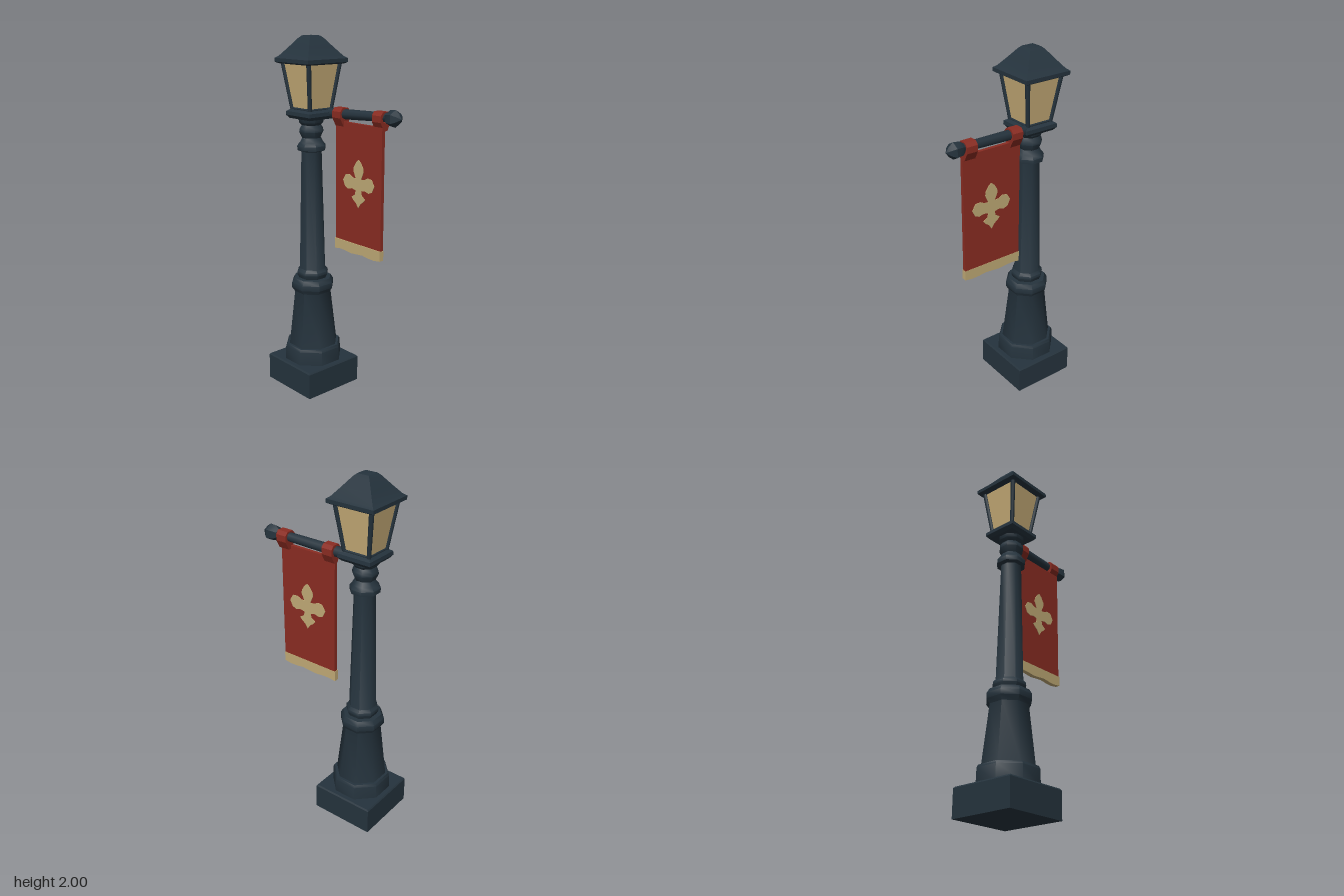
import * as THREE from 'three';
import { toCreasedNormals } from 'three/addons/utils/BufferGeometryUtils.js';

const mat = (name, color, side = THREE.FrontSide) => {
  const m = new THREE.MeshStandardMaterial({ color, side });
  m.name = name;
  return m;
};

export function createModel() {
  const iron = mat('dark iron', 0x25333d);
  const cloth = mat('red cloth', 0x8a2c22);
  const glassMat = mat('warm glass', 0xcbb07a, THREE.DoubleSide);
  const trim = mat('tan trim', 0xc0aa76);
  const model = new THREE.Group();
  model.name = 'bannerLampPost';

  const add = (parent, name, geo, material, x = 0, y = 0, z = 0) => {
    const mesh = new THREE.Mesh(geo, material);
    mesh.name = name;
    mesh.position.set(x, y, z);
    parent.add(mesh);
    return mesh;
  };
  // Prism from [half width, height] rings, with flats facing front and sides
  const turned = (profile, sides, crease) => {
    const k = 1 / Math.cos(Math.PI / sides);
    const geo = new THREE.LatheGeometry(profile.map(([r, y]) => new THREE.Vector2(r * k, y)), sides);
    geo.rotateY(Math.PI / sides);
    return toCreasedNormals(geo, crease);
  };
  // Straight bar between two points
  const bar = (parent, name, a, b, r0, r1, sides, material) => {
    const d = b.clone().sub(a);
    const geo = new THREE.CylinderGeometry(r1, r0, d.length(), sides);
    const mesh = add(parent, name, geo, material);
    mesh.position.copy(a).addScaledVector(d, 0.5);
    mesh.quaternion.setFromUnitVectors(new THREE.Vector3(0, 1, 0), d.normalize());
    return mesh;
  };

  // Post, standing behind the centre
  const post = new THREE.Group();
  post.name = 'post';
  post.position.z = -0.196;
  model.add(post);
  add(post, 'base', turned([[0, 0], [0.185, 0], [0.185, 0.148], [0.179, 0.156], [0, 0.156]], 4, 0.5), iron);
  add(post, 'pedestal', turned([
    [0, 0.15], [0.155, 0.15], [0.153, 0.235], [0.146, 0.25], [0.132, 0.25],
    [0.098, 0.57], [0.114, 0.595], [0.114, 0.625], [0.1, 0.65], [0, 0.655],
  ], 8, 0.86), iron);
  add(post, 'shaft', turned([
    [0.07, 0.64], [0.085, 0.675], [0.083, 0.69], [0.07, 0.705], [0.054, 1.38],
    [0.074, 1.388], [0.076, 1.412], [0.062, 1.43], [0.049, 1.455], [0.064, 1.488],
    [0.062, 1.505], [0.05, 1.525], [0.064, 1.54], [0.068, 1.57], [0, 1.575],
  ], 8, 0.86), iron);

  // Lantern
  const lantern = new THREE.Group();
  lantern.name = 'lantern';
  lantern.position.set(0.003, 0, -0.196);
  model.add(lantern);
  add(lantern, 'lanternFloor', turned([
    [0, 1.56], [0.085, 1.56], [0.1, 1.578], [0.098, 1.598], [0.08, 1.61], [0, 1.612],
  ], 4, 0.5), iron);
  add(lantern, 'glass', turned([[0.073, 1.605], [0.109, 1.862]], 4, 0.5), glassMat);
  const corner = (i, half, y) => {
    const a = Math.PI / 4 + i * Math.PI / 2;
    return new THREE.Vector3(Math.cos(a) * half * Math.SQRT2, y, Math.sin(a) * half * Math.SQRT2);
  };
  for (let i = 0; i < 4; i++) {
    bar(lantern, 'lanternPost', corner(i, 0.073, 1.6), corner(i, 0.108, 1.865), 0.011, 0.013, 8, iron);
    bar(lantern, 'lowerRail', corner(i, 0.074, 1.612), corner(i + 1, 0.074, 1.612), 0.008, 0.008, 6, iron);
  }
  add(lantern, 'roof', turned([
    [0, 1.852], [0.125, 1.852], [0.139, 1.86], [0.139, 1.88], [0.122, 1.892],
    [0.085, 1.937], [0.048, 1.984], [0.034, 1.997], [0, 2],
  ], 4, 0.6), iron);

  // Banner arm with a faceted finial
  const armStart = new THREE.Vector3(0.064, 1.588, -0.15);
  const armEnd = new THREE.Vector3(0.094, 1.607, 0.3);
  bar(model, 'arm', armStart, armEnd, 0.029, 0.024, 8, iron);
  const finial = add(model, 'finial', new THREE.LatheGeometry(
    [[0, 0], [0.026, 0], [0.04, 0.018], [0.045, 0.055], [0.026, 0.08], [0, 0.098]]
      .map(([r, y]) => new THREE.Vector2(r, y)), 6), iron, 0.096, 1.605, 0.29);
  finial.geometry = toCreasedNormals(finial.geometry, 0.5);
  finial.rotation.x = Math.PI / 2;

  // Cloth banner hanging along the arm, gently bowed
  const banner = new THREE.Group();
  banner.name = 'banner';
  banner.position.set(0.074, 0, 0.109);
  model.add(banner);
  add(banner, 'bannerCloth', new THREE.BoxGeometry(0.02, 0.665, 0.352), cloth, 0, 1.2225, 0);
  const fringe = new THREE.BoxGeometry(0.027, 0.057, 0.356, 1, 1, 8);
  const fp = fringe.attributes.position;
  for (let i = 0; i < fp.count; i++) {
    if (fp.getY(i) < 0) fp.setY(i, -0.0285 + 0.004 * Math.sin(fp.getZ(i) * 40));
  }
  add(banner, 'fringe', fringe, trim, -0.002, 0.87, 0);

  // Loops holding the cloth to the arm
  const loop = new THREE.Shape([
    [-0.012, -0.065], [0.012, -0.065], [0.036, -0.02], [0.036, 0.014], [0.02, 0.033],
    [-0.02, 0.033], [-0.036, 0.014], [-0.036, -0.02],
  ].map(([x, y]) => new THREE.Vector2(x, y)));
  loop.holes.push(new THREE.Path().absarc(0, 0, 0.024, 0, Math.PI * 2, true));
  const loopGeo = new THREE.ExtrudeGeometry(loop, { depth: 0.064, bevelEnabled: false, curveSegments: 4 });
  add(banner, 'rearLoop', loopGeo, cloth, 0, 1.594, -0.176);
  add(banner, 'frontLoop', loopGeo, cloth, 0.014, 1.601, 0.112);

  // Four-lobed emblem on both faces
  const half = [
    [0, 0.132], [0.018, 0.117], [0.036, 0.088], [0.038, 0.068], [0.02, 0.028], [0.045, 0.03],
    [0.07, 0.043], [0.1, 0.039], [0.12, 0.006], [0.103, -0.028], [0.078, -0.038], [0.05, -0.03],
    [0.02, -0.036], [0.026, -0.06], [0.052, -0.077], [0.036, -0.094], [0.018, -0.106], [0, -0.132],
  ];
  const outline = [...half, ...half.slice(1, -1).reverse().map(([x, y]) => [-x, y])];
  const emblem = new THREE.ExtrudeGeometry(
    new THREE.Shape(outline.map(([x, y]) => new THREE.Vector2(x, y))),
    { depth: 0.004, bevelEnabled: false });
  for (const s of [1, -1]) {
    add(banner, 'emblem', emblem, trim, s * 0.009, 1.235, 0.006).rotation.y = s * Math.PI / 2;
  }
  return model;
}
